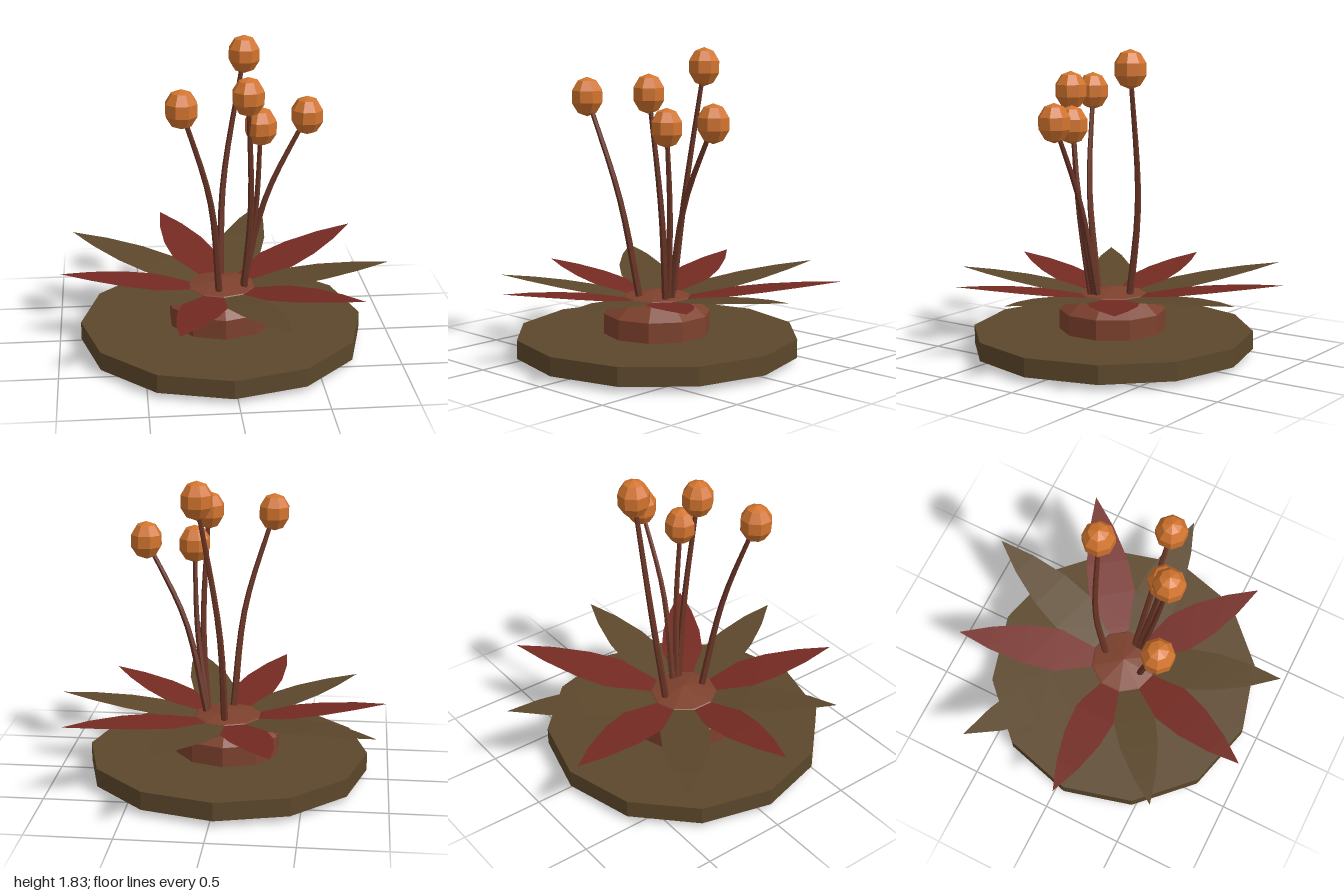
import * as THREE from 'three';

const mat = (name, color, side = THREE.FrontSide) => {
  const m = new THREE.MeshStandardMaterial({ color, flatShading: true, side });
  m.name = name;
  return m;
};

const CX = -0.025, CZ = 0.057; // axis of the base and flower

// Flat-across leaf strip along +x that rises gently towards a pointed tip
function petalGeometry(length) {
  const start = 0.13, s = length / 1.0;
  const rows = [[0, 0.05], [0.1, 0.092], [0.33, 0.135], [0.54, 0.122], [0.78, 0.072], [1, 0]];
  const pos = [], idx = [];
  rows.forEach(([t, w], i) => {
    const x = start + (length - start) * t;
    const y = 0.355 + 0.118 * s * (1.25 * t - 0.25 * t * t);
    pos.push(x, y, -w * s, x, y, w * s);
    if (i) {
      const a = 2 * i - 2;
      idx.push(a, a + 1, a + 2);
      if (w > 0) idx.push(a + 1, a + 3, a + 2);
    }
  });
  const g = new THREE.BufferGeometry();
  g.setAttribute('position', new THREE.Float32BufferAttribute(pos, 3));
  g.setIndex(idx);
  g.computeVertexNormals();
  return g;
}

// Tube whose rings shrink towards the far end
function taperedTube(points, r0, r1) {
  const curve = new THREE.CatmullRomCurve3(points.map(p => new THREE.Vector3(...p)));
  const segs = 10, sides = 6;
  const g = new THREE.TubeGeometry(curve, segs, r0, sides);
  const p = g.attributes.position, v = new THREE.Vector3();
  for (let i = 0; i <= segs; i++) {
    const c = curve.getPointAt(i / segs);
    const k = 1 + (r1 / r0 - 1) * (i / segs);
    for (let j = 0; j <= sides; j++) {
      const n = i * (sides + 1) + j;
      v.fromBufferAttribute(p, n).sub(c).multiplyScalar(k).add(c);
      p.setXYZ(n, v.x, v.y, v.z);
    }
  }
  return g;
}

export function createModel() {
  const group = new THREE.Group();
  const brown = mat('mossBrown', 0x5c472b, THREE.DoubleSide);
  const red = mat('petalRed', 0x742a22, THREE.DoubleSide);
  const clay = mat('bulbClay', 0x7d412d);
  const stemMat = mat('stemBrown', 0x6b3526);
  const orange = mat('podOrange', 0xd2742e);

  const add = (name, geo, material, parent = group) => {
    const m = new THREE.Mesh(geo, material);
    m.name = name;
    parent.add(m);
    return m;
  };

  // Twelve-sided pad
  add('basePad', new THREE.CylinderGeometry(0.845, 0.845, 0.11, 12), brown).position.set(CX, 0.095, CZ);

  // Squashed low-poly bulb poking through the pad
  const bulb = new THREE.SphereGeometry(0.336, 10, 5);
  bulb.rotateY(Math.PI / 2);
  bulb.scale(1, 0.6, 1);
  add('bulb', bulb, clay).position.set(CX, 0.207, CZ);

  // Ring of ten alternating petals of uneven length
  const petals = new THREE.Group();
  petals.name = 'petals';
  petals.position.set(CX, 0, CZ);
  group.add(petals);
  [1.01, 0.956, 0.98, 0.977, 0.95, 0.955, 1.1, 1.04, 1.1, 1.095].forEach((len, i) => {
    const p = add('petal', petalGeometry(len), i % 2 ? red : brown, petals);
    p.rotation.y = -i * Math.PI / 5;
  });

  // Stems: base, middle and pod centre
  const stems = [
    [[-0.045, 0.34, 0.175], [-0.105, 0.97, 0.285], [-0.272, 1.555, 0.38]],
    [[-0.018, 0.34, -0.07], [0.005, 0.93, -0.147], [0.132, 1.722, -0.18]],
    [[0.105, 0.34, 0.115], [0.138, 0.9, 0.185], [0.112, 1.583, 0.26]],
    [[0.1, 0.34, 0.095], [0.172, 0.9, 0.15], [0.19, 1.39, 0.195]],
    [[0.1, 0.34, 0.07], [0.235, 0.93, 0.1], [0.468, 1.425, 0.108]],
  ];
  const pod = new THREE.SphereGeometry(0.0985, 8, 5);
  pod.rotateY(Math.PI / 8);
  pod.scale(1, 1.16, 1);
  for (const pts of stems) {
    const stalk = new THREE.Group();
    stalk.name = 'stalk';
    group.add(stalk);
    add('stem', taperedTube(pts, 0.022, 0.013), stemMat, stalk);
    add('pod', pod, orange, stalk).position.set(...pts[2]);
  }
  return group;
}
